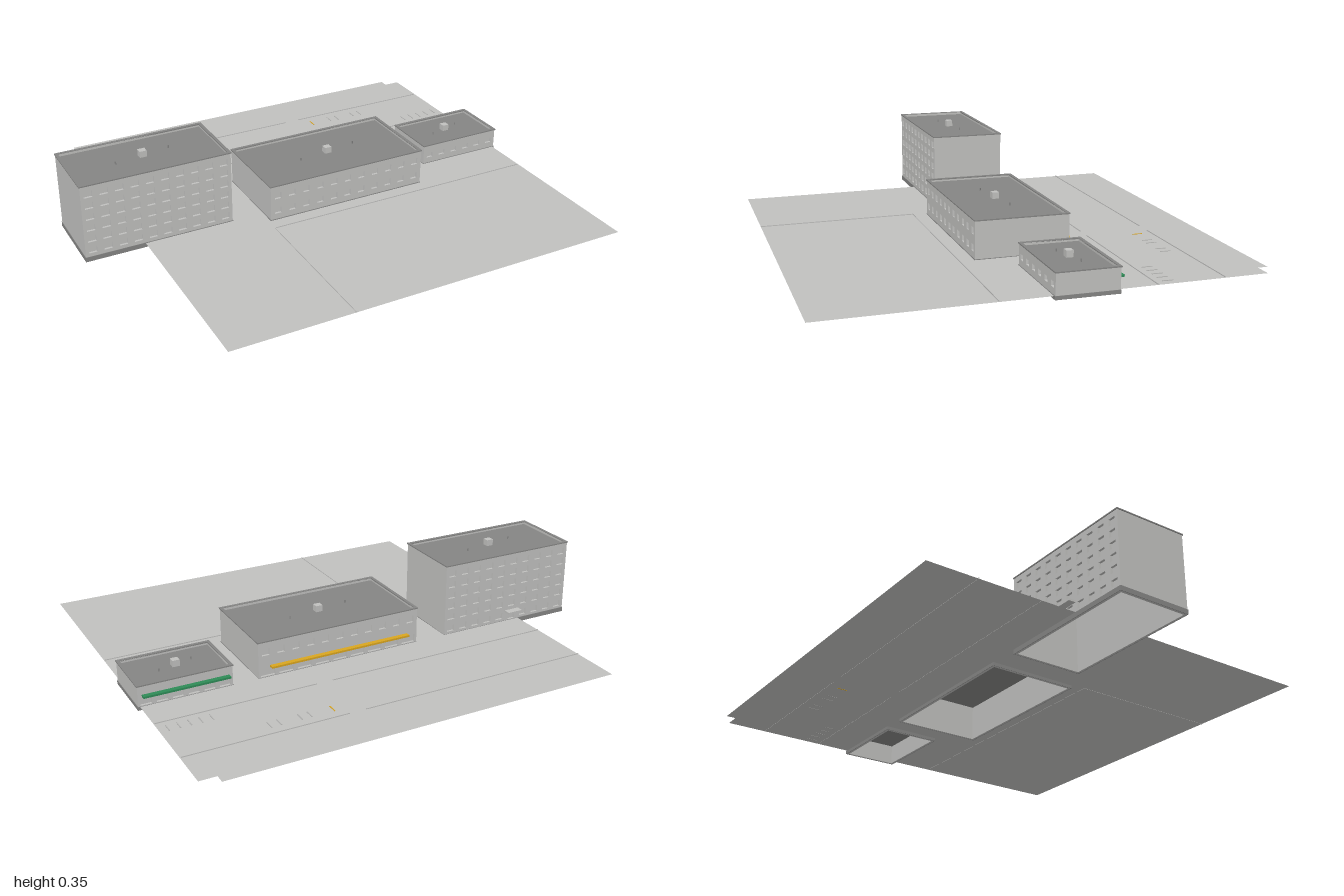
import * as THREE from 'three';
import { mergeGeometries } from 'three/addons/utils/BufferGeometryUtils.js';

const material = (name, color) => new THREE.MeshStandardMaterial({ name, color, side: THREE.DoubleSide });
const mats = {
  concrete: material('pale concrete', 0xc0c0be),
  roof: material('roof grey', 0x858584),
  marking: material('pale marking', 0xb2b2b0),
  yellow: material('awning yellow', 0xd9a520),
  green: material('awning green', 0x2e8b57),
};
const DEPTH = 0.01; // wall thickness and window recess

function mesh(name, geometry, mat) {
  const m = new THREE.Mesh(geometry, mat);
  m.name = name;
  return m;
}

// Box given by its lower and upper limits
function block(x0, x1, y0, y1, z0, z1) {
  return new THREE.BoxGeometry(x1 - x0, y1 - y0, z1 - z0)
    .translate((x0 + x1) / 2, (y0 + y1) / 2, (z0 + z1) / 2);
}

// Rectangular rim of four bars around a footprint
function rim(b, y0, y1, out, inset) {
  const x0 = b.x0 - out, x1 = b.x1 + out, z0 = b.z0 - out, z1 = b.z1 + out, w = out + inset;
  return mergeGeometries([
    block(x0, x1, y0, y1, z0, z0 + w), block(x0, x1, y0, y1, z1 - w, z1),
    block(x0, x0 + w, y0, y1, z0 + w, z1 - w), block(x1 - w, x1, y0, y1, z0 + w, z1 - w),
  ]);
}

function rectPath(x, y, w, h) {
  const p = new THREE.Path();
  p.moveTo(x, y);
  p.lineTo(x, y + h);
  p.lineTo(x + w, y + h);
  p.lineTo(x + w, y);
  p.closePath();
  return p;
}

// Evenly spaced openings in rows: [x, y, width, height]
function windowGrid(width, cols, rows, w, h) {
  const list = [];
  for (const y of rows)
    for (let i = 0; i < cols; i++) list.push([(i + 0.5) * width / cols - w / 2, y, w, h]);
  return list;
}

// Wall standing on y = 0, outer face at z = 0, with recessed panes
function wall(name, width, height, openings) {
  const g = new THREE.Group();
  g.name = name;
  const s = new THREE.Shape();
  s.moveTo(0, 0);
  s.lineTo(width, 0);
  s.lineTo(width, height);
  s.lineTo(0, height);
  s.closePath();
  s.holes = openings.map((o) => rectPath(...o));
  const geo = new THREE.ExtrudeGeometry(s, { depth: DEPTH, bevelEnabled: false }).translate(0, 0, -DEPTH);
  g.add(mesh('wallPanel', geo, mats.concrete));
  if (openings.length) {
    const panes = openings.map(([x, y, w, h]) => new THREE.PlaneGeometry(w, h).translate(x + w / 2, y + h / 2, -DEPTH));
    g.add(mesh('windowPanes', mergeGeometries(panes), mats.concrete));
  }
  return g;
}

function building(b) {
  const g = new THREE.Group();
  g.name = b.name;
  const w = b.x1 - b.x0, d = b.z1 - b.z0, h = b.top - b.y0;
  const front = wall('frontWall', w, h, b.front(w));
  front.position.set(b.x0, b.y0, b.z1);
  const back = wall('backWall', w, h, b.back(w));
  back.rotation.y = Math.PI;
  back.position.set(b.x1, b.y0, b.z0);
  const left = wall('leftWall', d, h, []);
  left.rotation.y = Math.PI / 2;
  left.position.set(b.x1, b.y0, b.z1);
  const right = wall('rightWall', d, h, []);
  right.rotation.y = -Math.PI / 2;
  right.position.set(b.x0, b.y0, b.z0);
  g.add(front, back, left, right);
  g.add(mesh('roofDeck', block(b.x0 + DEPTH, b.x1 - DEPTH, b.top - 0.014, b.top - 0.01, b.z0 + DEPTH, b.z1 - DEPTH), mats.roof));
  g.add(mesh('parapetCoping', rim(b, b.top - 0.003, b.top + 0.002, 0.003, DEPTH), mats.roof));
  g.add(mesh('plinth', rim(b, b.y0, 0.02, 0.002, 0), mats.roof));
  // Rooftop housing and small vents
  const [hx, hz] = b.housing;
  g.add(mesh('roofHousing', block(hx - 0.015, hx + 0.015, b.top - 0.01, b.top + 0.017, hz - 0.014, hz + 0.014), mats.concrete));
  for (const side of [-1, 1]) {
    const vent = new THREE.CylinderGeometry(0.003, 0.003, 0.012, 8);
    g.add(mesh('roofVent', vent.translate(hx + side * w * 0.19, b.top - 0.004, hz - side * 0.02), mats.roof));
  }
  // Canopy over the back entrance or shop front
  const [x0, x1, z, mat] = b.canopy;
  g.add(mesh('canopy', block(x0, x1, 0.06, 0.068, z, b.z0), mat));
  return g;
}

// Site sheet in plan, cut out around the footprints, rising slightly to the back
function site(tall, middle, small) {
  const s = new THREE.Shape([
    [-0.75, 0.87], [0.99, 0.87], [0.99, small.z1], [small.x0, small.z1], [small.x0, small.z0],
    [0.99, small.z0], [0.99, -0.84], [0.92, -0.84], [0.92, -0.88], [-0.75, -0.88],
    [-0.75, tall.z0], [tall.x1, tall.z0], [tall.x1, tall.z1], [-0.75, tall.z1],
  ].map(([x, z]) => new THREE.Vector2(x, -z)));
  s.holes.push(rectPath(middle.x0, -middle.z1, middle.x1 - middle.x0, middle.z1 - middle.z0));
  const geo = new THREE.ShapeGeometry(s).rotateX(-Math.PI / 2);
  const p = geo.attributes.position;
  for (let i = 0; i < p.count; i++) p.setY(i, groundY(p.getZ(i)));
  return mesh('ground', geo, mats.concrete);
}
const groundY = (z) => 0.018 - 0.006 * z;

export function createModel() {
  const root = new THREE.Group();
  root.name = 'cityBlock';

  const tall = {
    name: 'apartmentBlock', x0: -0.997, x1: -0.368, z0: -0.247, z1: 0.067, y0: 0, top: 0.333,
    housing: [-0.685, -0.09], canopy: [-0.75, -0.68, -0.278, mats.concrete],
    front: (w) => windowGrid(w, 10, [0.035, 0.084, 0.133, 0.182, 0.231, 0.28], 0.034, 0.028),
    back: (w) => [
      ...windowGrid(w, 10, [0.084, 0.133, 0.182, 0.231, 0.28], 0.034, 0.028),
      ...windowGrid(w, 10, [0.03], 0.034, 0.028).filter((o, i) => i !== 5),
      [0.33, 0.022, 0.034, 0.036],
    ],
  };
  const middle = {
    name: 'shopBuilding', x0: -0.227, x1: 0.5, z0: -0.247, z1: 0.14, y0: 0.005, top: 0.174,
    housing: [0.14, -0.055], canopy: [-0.18, 0.45, -0.268, mats.yellow],
    front: (w) => windowGrid(w, 11, [0.04, 0.108], 0.03, 0.028),
    back: (w) => [...windowGrid(w, 11, [0.108], 0.032, 0.03), ...windowGrid(w, 9, [0.018], 0.062, 0.034)],
  };
  const small = {
    name: 'smallShop', x0: 0.61, x1: 0.997, z0: -0.247, z1: 0, y0: 0.005, top: 0.106,
    housing: [0.8, -0.125], canopy: [0.625, 0.98, -0.268, mats.green],
    front: (w) => windowGrid(w, 6, [0.04], 0.03, 0.022),
    back: (w) => windowGrid(w, 6, [0.018], 0.046, 0.034),
  };
  for (const b of [tall, middle, small]) root.add(building(b));
  root.add(site(tall, middle, small));

  // Low kerbs along the street and around the rear yard
  const kerb = (x0, x1, z0, z1) => {
    const y = groundY((z0 + z1) / 2);
    const geo = block(x0, x1, -0.001, 0.004, z0, z1);
    const p = geo.attributes.position;
    for (let i = 0; i < p.count; i++) p.setY(i, p.getY(i) + groundY(p.getZ(i)));
    root.add(mesh('kerb', geo, y ? mats.concrete : mats.marking));
  };
  for (const z of [-0.4, -0.67]) {
    kerb(-0.75, 0.25, z, z + 0.004);
    kerb(0.32, 0.985, z, z + 0.004);
  }
  kerb(-0.24, 0.985, 0.2, 0.203);
  kerb(-0.24, -0.237, 0.2, 0.87);

  // Parking bay lines
  const line = (x, z, mat) => root.add(mesh('bayLine', block(x - 0.002, x + 0.002, groundY(z) - 0.001, groundY(z) + 0.002, z - 0.022, z + 0.022), mat));
  line(0.36, -0.605, mats.yellow);
  for (const x of [0.455, 0.495, 0.58, 0.62]) line(x, -0.605, mats.marking);
  for (let i = 0; i < 5; i++) line(0.783 + i * 0.043, -0.45, mats.marking);
  return root;
}
